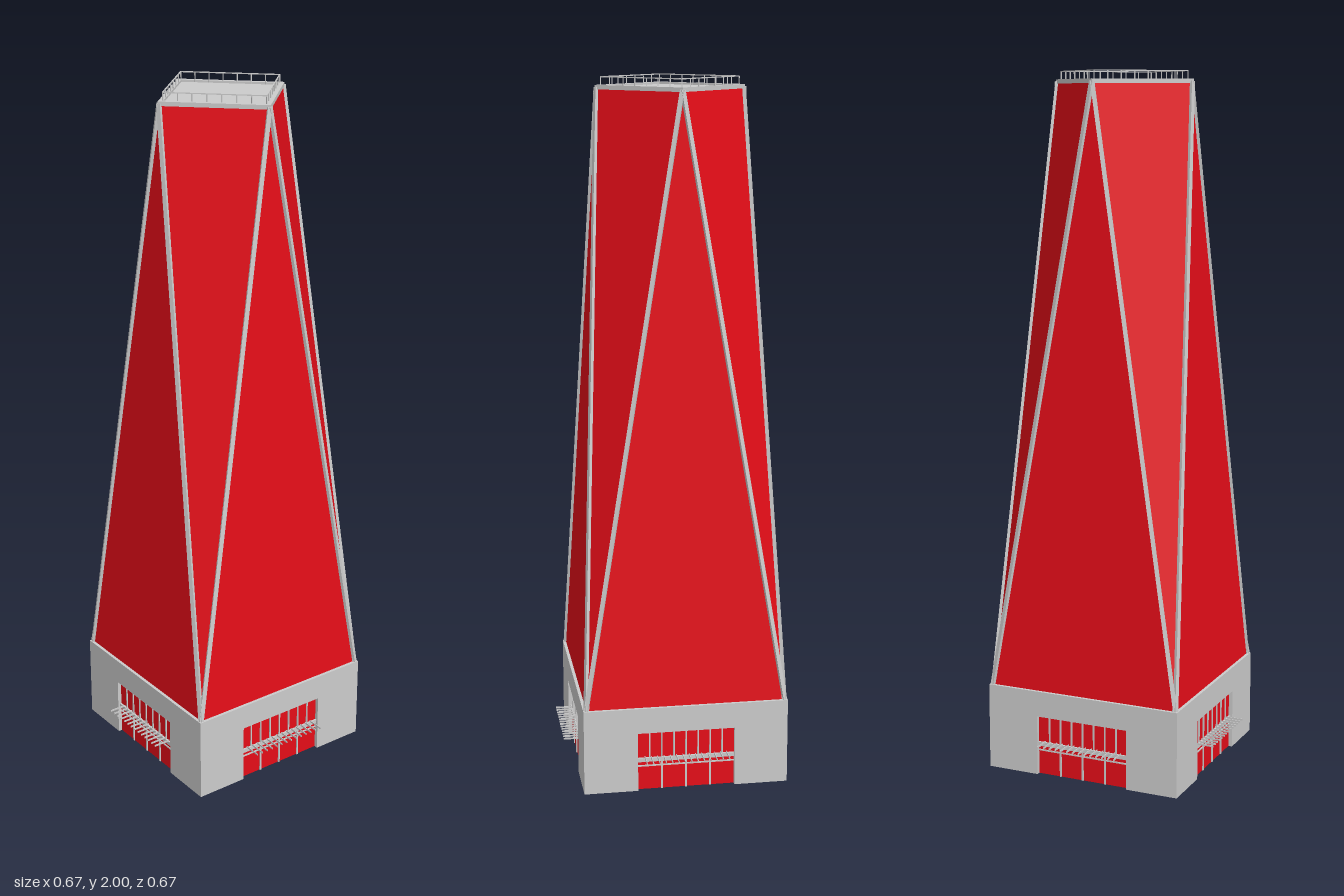
import * as THREE from 'three';

const grey = new THREE.MeshStandardMaterial({ color: 0xcccccc, side: THREE.DoubleSide });
const red = new THREE.MeshStandardMaterial({ color: 0xe50d18, side: THREE.DoubleSide, flatShading: true });

const BASE = 0.295, BASE_H = 0.25;      // half width and height of the plinth
const FOOT = 0.286, CROWN = 0.207, ROOF_Y = 1.97; // facet corners
const DOOR = 0.14, DOOR_H = 0.175;

function add(parent, name, geometry, material = grey) {
  const mesh = new THREE.Mesh(geometry, material);
  mesh.name = name;
  parent.add(mesh);
  return mesh;
}

function box(parent, name, w, h, d, x, y, z, material) {
  const mesh = add(parent, name, new THREE.BoxGeometry(w, h, d), material);
  mesh.position.set(x, y, z);
  return mesh;
}

// Bar between two points, its flat outer face turned to the given direction
function bar(parent, name, a, b, w, d, outward) {
  const mesh = add(parent, name, new THREE.BoxGeometry(w, a.distanceTo(b), d));
  const yAxis = b.clone().sub(a).normalize();
  const xAxis = yAxis.clone().cross(outward).normalize();
  mesh.quaternion.setFromRotationMatrix(
    new THREE.Matrix4().makeBasis(xAxis, yAxis, xAxis.clone().cross(yAxis)));
  mesh.position.copy(a).add(b).multiplyScalar(0.5);
  return mesh;
}

function triangle(parent, name, a, b, c) {
  const g = new THREE.BufferGeometry().setFromPoints([a, b, c]);
  g.computeVertexNormals();
  add(parent, name, g, red);
}

// Square outline turned on its corner
function diamond(r) {
  return [[r, 0], [0, r], [-r, 0], [0, -r]].map(([x, y]) => new THREE.Vector2(x, y));
}

// Plinth wall with its entrance opening
function wall(side) {
  const s = new THREE.Shape([[-BASE, 0], [-DOOR, 0], [-DOOR, DOOR_H], [DOOR, DOOR_H], [DOOR, 0],
    [BASE, 0], [BASE, BASE_H], [-BASE, BASE_H]].map(([x, y]) => new THREE.Vector2(x, y)));
  const t = 0.013;
  const g = new THREE.ExtrudeGeometry(s, { depth: t, bevelEnabled: false });
  g.translate(0, 0, BASE - t);
  // Mitre the wall ends
  const p = g.attributes.position;
  for (let i = 0; i < p.count; i++) {
    if (Math.abs(p.getX(i)) > BASE - 0.001) p.setX(i, Math.sign(p.getX(i)) * p.getZ(i));
  }
  g.computeVertexNormals();
  add(side, 'plinthWall', g);
}

// Glazed entrance with frame and canopy fins
function entrance(side) {
  const e = new THREE.Group();
  e.name = 'entrance';
  side.add(e);
  const z = BASE - 0.013;
  box(e, 'glazing', 2 * DOOR, DOOR_H, 0.003, 0, DOOR_H / 2, z, red);
  box(e, 'transom', 2 * DOOR, 0.012, 0.014, 0, 0.091, z);
  box(e, 'doorRail', 2 * DOOR, 0.004, 0.009, 0, 0.072, z);
  for (let i = 1; i < 8; i++) {
    box(e, 'windowMullion', 0.004, DOOR_H - 0.095, 0.01, -DOOR + i * DOOR / 4, (DOOR_H + 0.095) / 2, z);
  }
  for (let i = -1; i <= 1; i++) {
    box(e, 'doorMullion', 0.005, 0.09, 0.01, i * DOOR / 2, 0.045, z);
  }
  for (let i = 0; i < 14; i++) {
    box(e, 'canopyFin', 0.002, 0.005, 0.055, -0.119 + i * 0.0183, 0.098, BASE + 0.013);
  }
}

// Facets and ribs belonging to one side
function shaft(side) {
  const left = new THREE.Vector3(-FOOT, BASE_H, FOOT);
  const right = new THREE.Vector3(FOOT, BASE_H, FOOT);
  const apex = new THREE.Vector3(0, ROOF_Y, CROWN);
  const next = new THREE.Vector3(CROWN, ROOF_Y, 0);
  triangle(side, 'risingFacet', left, right, apex);
  triangle(side, 'fallingFacet', right, next, apex);
  for (const foot of [left, right]) {
    const outward = new THREE.Vector3(Math.sign(foot.x) * 0.42, 0.05, 1);
    bar(side, 'rib', foot, apex, 0.012, 0.012, outward);
  }
}

// Railing along one roof edge
function railing(side) {
  const r = 0.195, bays = 7, base = 1.97, top = 1.998;
  const a = new THREE.Vector3(0, top, r), b = new THREE.Vector3(r, top, 0);
  const out = new THREE.Vector3(1, 0, 1);
  bar(side, 'handrail', a, b, 0.003, 0.003, out);
  for (let i = 0; i < bays; i++) {
    const p = a.clone().lerp(b, i / bays);
    box(side, 'railingPost', 0.0025, top - base, 0.0025, p.x, (top + base) / 2, p.z);
  }
}

export function createModel() {
  const tower = new THREE.Group();
  tower.name = 'tower';
  for (let i = 0; i < 4; i++) {
    const side = new THREE.Group();
    side.name = 'side' + (i + 1);
    side.rotation.y = i * Math.PI / 2;
    wall(side);
    entrance(side);
    shaft(side);
    railing(side);
    tower.add(side);
  }
  // Roof deck and its raised rim
  const deck = add(tower, 'roofDeck', new THREE.ShapeGeometry(new THREE.Shape(diamond(0.205))));
  deck.rotation.x = -Math.PI / 2;
  deck.position.y = ROOF_Y;
  const ring = new THREE.Shape(diamond(0.212));
  ring.holes.push(new THREE.Path(diamond(0.193).reverse()));
  const rim = add(tower, 'roofRim', new THREE.ExtrudeGeometry(ring, { depth: 0.012, bevelEnabled: false }));
  rim.rotation.x = -Math.PI / 2;
  rim.position.y = ROOF_Y - 0.006;
  return tower;
}
